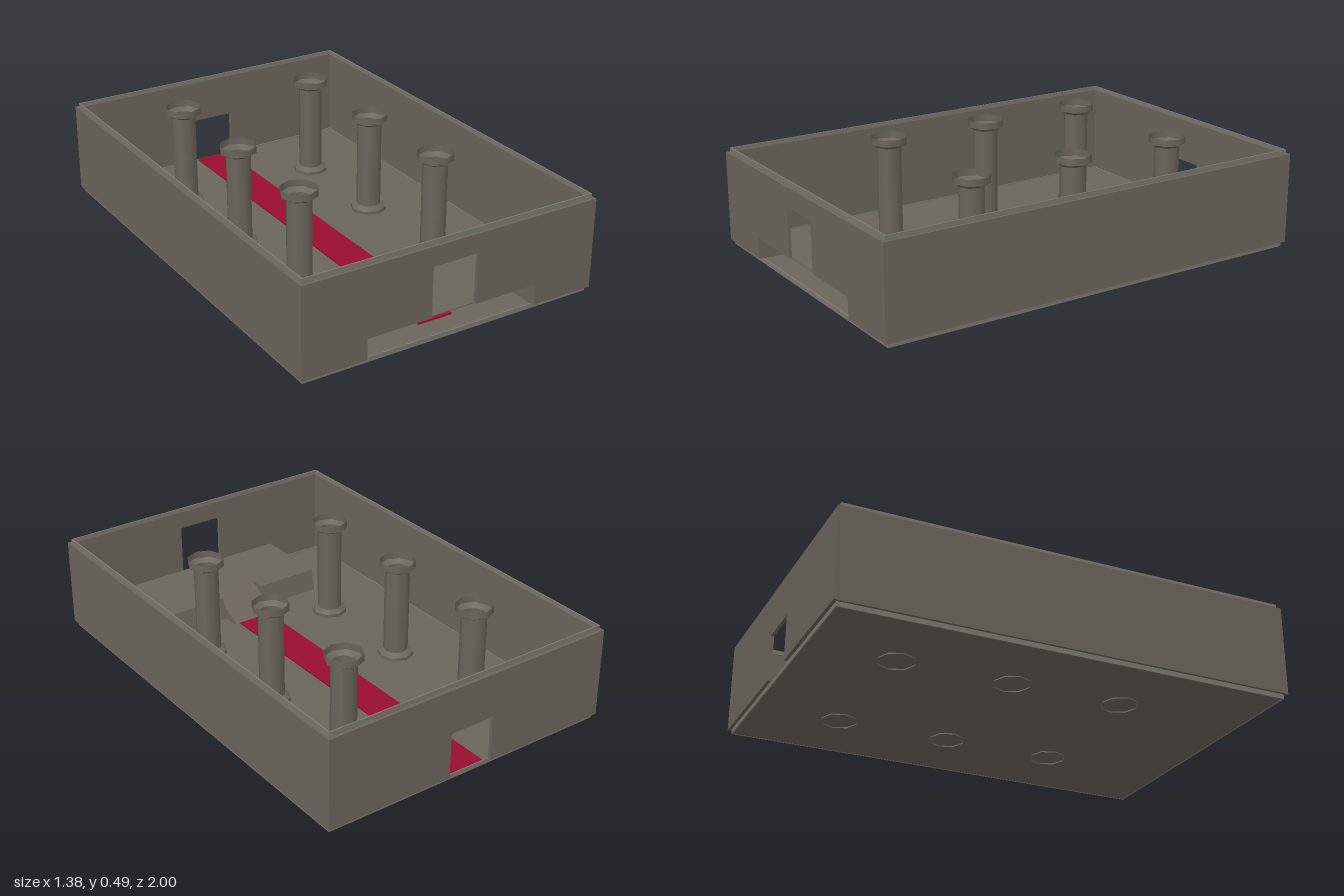
import * as THREE from 'three';

export function createModel() {
  const model = new THREE.Group();
  const mat = (name, color, side = THREE.FrontSide) => {
    const m = new THREE.MeshStandardMaterial({ color, side });
    m.name = name;
    return m;
  };
  const stone = mat('stone', 0x6a645c, THREE.DoubleSide);
  const trim = mat('paleTrim', 0x7a776f);
  const red = mat('redCarpet', 0x980d2f);

  const add = (name, geo, material, x = 0, y = 0, z = 0, parent = model) => {
    const m = new THREE.Mesh(geo, material);
    m.name = name;
    m.position.set(x, y, z);
    parent.add(m);
    return m;
  };
  // box given by its lower and upper corners
  const block = (name, material, x0, x1, y0, y1, z0, z1) =>
    add(name, new THREE.BoxGeometry(x1 - x0, y1 - y0, z1 - z0), material,
      (x0 + x1) / 2, (y0 + y1) / 2, (z0 + z1) / 2);
  // flat outline pushed along z
  const plate = (points, depth) => new THREE.ExtrudeGeometry(
    new THREE.Shape(points.map(p => new THREE.Vector2(...p))), { depth, bevelEnabled: false });

  const W = 0.69, L = 1, T = 0.014, Y0 = 0.025, Y1 = 0.425;

  // floor and carpet
  block('floor', stone, -0.672, 0.672, 0.005, 0.02, -0.983, 0.983);
  block('carpet', red, -0.08, 0.08, 0.02, 0.027, -0.98, 0.88);

  // long side walls
  for (const s of [-1, 1]) {
    const wall = new THREE.BoxGeometry(T, Y1 - Y0, 2 * L);
    add('sideWall', wall, stone, s * (W - T / 2), (Y0 + Y1) / 2, 0);
  }

  // front wall: a tall doorway above a wide low slot
  const w = W - T;
  add('frontWall', plate([
    [-w, Y0], [-0.4, Y0], [-0.4, 0.117], [-0.105, 0.117], [-0.105, 0.34], [0.105, 0.34],
    [0.105, 0.117], [0.4, 0.117], [0.4, Y0], [w, Y0], [w, Y1], [-w, Y1],
  ], T), stone, 0, 0, L - T);

  // back wall with its doorway
  add('backWall', plate([
    [-w, Y0], [-0.105, Y0], [-0.105, 0.228], [0.105, 0.228], [0.105, Y0],
    [w, Y0], [w, Y1], [-w, Y1],
  ], T), stone, 0, 0, -L);

  // narrow inset lips under and over the walls
  for (const [name, y0, y1] of [['bottomLip', 0.004, Y0], ['topLip', Y1, 0.445]]) {
    for (const s of [-1, 1]) {
      add(name, new THREE.BoxGeometry(0.006, y1 - y0, 1.97), trim, s * 0.675, (y0 + y1) / 2, 0);
      add(name, new THREE.BoxGeometry(1.344, y1 - y0, 0.006), trim, 0, (y0 + y1) / 2, s * 0.982);
    }
  }

  // hollow entrance platform, open to the front, notched for the ramp
  const top = plate([
    [-0.4, -0.63], [-0.105, -0.63], [-0.105, -0.71], [0.105, -0.71],
    [0.105, -0.63], [0.4, -0.63], [0.4, -0.986], [-0.4, -0.986],
  ], 0.004);
  top.rotateX(-Math.PI / 2);
  add('platformTop', top, stone, 0, 0.113, 0);

  // quad surface from four corners
  const quad = (name, material, corners) => {
    const g = new THREE.BufferGeometry();
    g.setAttribute('position', new THREE.Float32BufferAttribute(corners.flat(), 3));
    g.setIndex([0, 1, 2, 0, 2, 3]);
    g.computeVertexNormals();
    return add(name, g, material);
  };
  for (const s of [-1, 1]) {
    const a = s > 0 ? 0.105 : -0.4, b = s > 0 ? 0.4 : -0.105;
    quad('platformBack', stone,
      [[b, 0.02, 0.61], [a, 0.02, 0.61], [a, 0.117, 0.63], [b, 0.117, 0.63]]);
    const side = s * 0.4;
    const ends = [[side, 0.02, 0.986], [side, 0.02, 0.61], [side, 0.117, 0.63], [side, 0.117, 0.986]];
    quad('platformSide', stone, s > 0 ? ends : ends.reverse());
    // cheeks beside the ramp
    const x = s * 0.105;
    const cheek = [[x, 0.02, 0.71], [x, 0.02, 0.53], [x, 0.035, 0.53], [x, 0.117, 0.71]];
    quad('rampSide', stone, s > 0 ? cheek : cheek.reverse());
    const notch = [[x, 0.117, 0.71], [x, 0.117, 0.63], [x, 0.02, 0.61], [x, 0.02, 0.71]];
    quad('notchSide', stone, s > 0 ? notch : notch.reverse());
  }
  quad('ramp', stone,
    [[0.105, 0.028, 0.525], [-0.105, 0.028, 0.525], [-0.105, 0.117, 0.71], [0.105, 0.117, 0.71]]);

  // octagonal columns with flared feet and open capitals
  const sections = [
    ['columnFoot', 0.08, 0.08, 0, 0.035],
    ['footTaper', 0.08, 0.055, 0.035, 0.05],
    ['columnShaft', 0.055, 0.055, 0.05, 0.44],
    ['capitalTaper', 0.055, 0.08, 0.44, 0.455],
    ['capital', 0.08, 0.08, 0.455, 0.485],
  ];
  for (const x of [-0.333, 0.333]) {
    for (const z of [-0.61, -0.105, 0.395]) {
      const column = new THREE.Group();
      column.name = 'column';
      column.position.set(x, 0, z);
      for (const [name, r0, r1, y0, y1] of sections) {
        add(name, new THREE.CylinderGeometry(r1, r0, y1 - y0, 8, 1, true), stone,
          0, (y0 + y1) / 2, 0, column);
      }
      model.add(column);
    }
  }
  return model;
}
